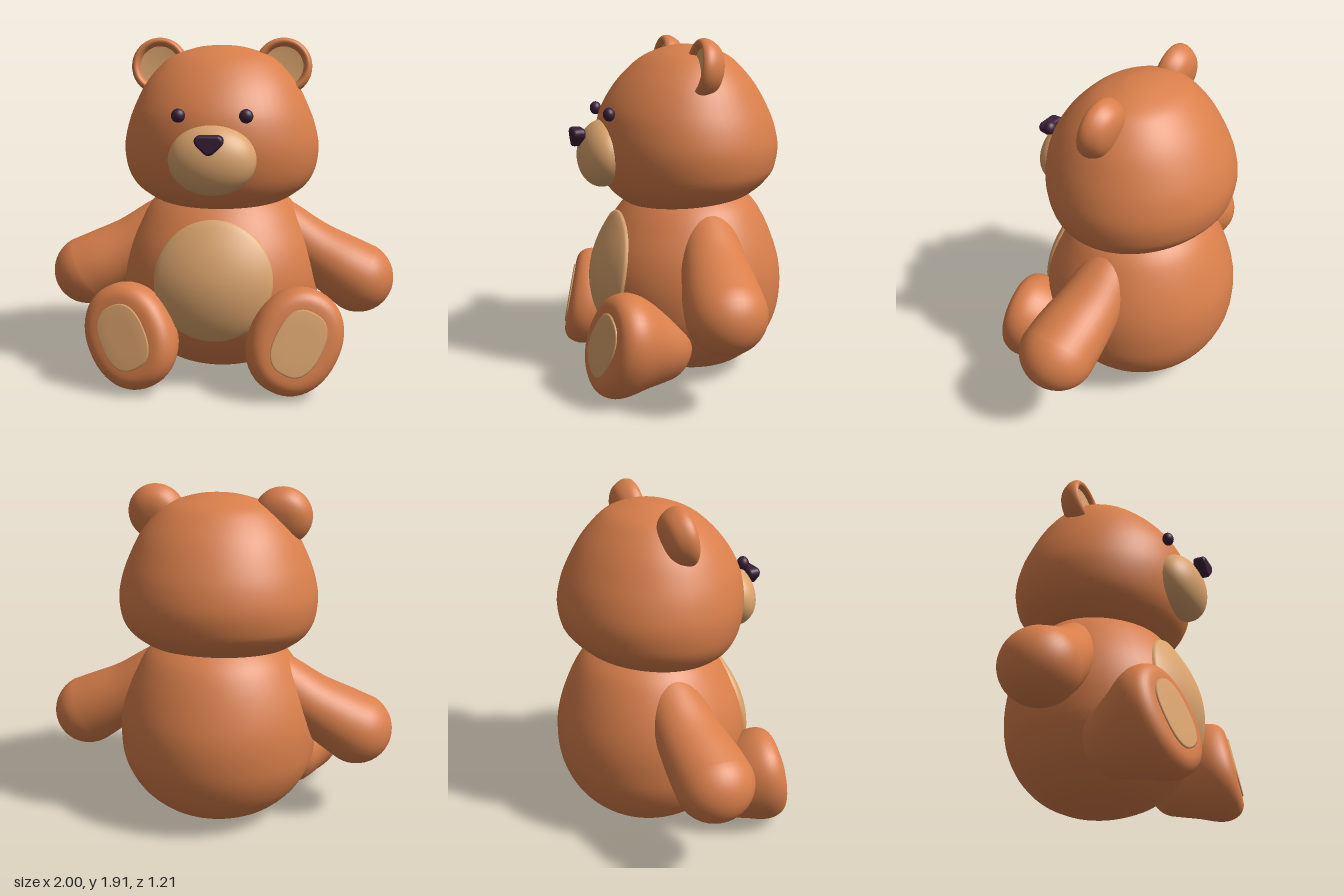
import * as THREE from 'three';
import { mergeVertices } from 'three/addons/utils/BufferGeometryUtils.js';

const material = (name, color) => {
  const m = new THREE.MeshStandardMaterial({ color });
  m.name = name;
  return m;
};

// Catmull-Rom resampling of rows of numbers
function refine(rows, n) {
  const out = [];
  const at = (i) => rows[Math.min(Math.max(i, 0), rows.length - 1)];
  for (let i = 0; i < rows.length - 1; i++) {
    for (let j = 0; j < n; j++) {
      const t = j / n;
      out.push(rows[i].map((b, k) => {
        const a = at(i - 1)[k], c = at(i + 1)[k], d = at(i + 2)[k];
        return b + 0.5 * t * (c - a + t * (2 * a - 5 * b + 4 * c - d + t * (3 * (b - c) + d - a)));
      }));
    }
  }
  out.push(rows[rows.length - 1]);
  return out;
}

// Smooth skin over closed loops; point(row, angle) returns [x, y, z]
function loft(rows, point, seg = 56) {
  const pos = [], idx = [];
  rows.forEach((row, i) => {
    for (let j = 0; j < seg; j++) {
      pos.push(...point(row, (j / seg) * Math.PI * 2));
      if (i === rows.length - 1) continue;
      const a = i * seg + j, b = i * seg + ((j + 1) % seg);
      idx.push(a, a + seg, b, b, a + seg, b + seg);
    }
  });
  const g = new THREE.BufferGeometry();
  g.setAttribute('position', new THREE.Float32BufferAttribute(pos, 3));
  g.setIndex(idx);
  return smooth(g);
}

function smooth(g) {
  g.deleteAttribute('uv');
  g.deleteAttribute('normal');
  const m = mergeVertices(g, 1e-5);
  m.computeVertexNormals();
  return m;
}

// Mirror across x with the corner order reversed
function mirrored(g) {
  const m = g.clone().scale(-1, 1, 1);
  const ix = m.index.array;
  for (let i = 0; i < ix.length; i += 3) [ix[i], ix[i + 1]] = [ix[i + 1], ix[i]];
  m.computeVertexNormals();
  return m;
}

// Rounded outline between an ellipse (p = 2) and a box
const superEllipse = (a, b, p, t) => {
  const c = Math.cos(t), s = Math.sin(t);
  return [a * Math.sign(c) * Math.abs(c) ** (2 / p), b * Math.sign(s) * Math.abs(s) ** (2 / p)];
};

export function createModel() {
  const model = new THREE.Group();
  model.name = 'teddyBear';
  const fur = material('brown fur', 0xd97f4b);
  const tan = material('tan patch', 0xdba46d);
  const dark = material('dark plum', 0x3c2038);

  const add = (name, geometry, mat) => {
    const mesh = new THREE.Mesh(geometry, mat);
    mesh.name = name;
    model.add(mesh);
  };
  const pair = (name, geometry, mat) => {
    add('left' + name, geometry, mat);
    add('right' + name, mirrored(geometry), mat);
  };

  // Upright sections: height, half width, front z, back z
  const ring = ([y, w, f, b], t) => [w * Math.cos(t), y, (f + b) / 2 + ((f - b) / 2) * Math.sin(t)];

  // Body
  const body = refine([
    [0, 0, -0.09, -0.09], [0.008, 0.11, 0.02, -0.2], [0.03, 0.21, 0.12, -0.29], [0.09, 0.35, 0.25, -0.41],
    [0.2, 0.47, 0.37, -0.515], [0.34, 0.545, 0.455, -0.58], [0.48, 0.565, 0.49, -0.602],
    [0.62, 0.56, 0.485, -0.595], [0.76, 0.525, 0.44, -0.555], [0.9, 0.455, 0.36, -0.495],
    [1.0, 0.38, 0.28, -0.425], [1.1, 0.25, 0.18, -0.3],
  ], 4);
  add('body', loft(body, ring), fur);

  // Belly patch, laid on the front of the body
  const bodyFront = (x, y) => {
    const i = body.findIndex((r) => r[0] > y);
    const lo = body[i - 1], hi = body[i], t = (y - lo[0]) / (hi[0] - lo[0]);
    const [w, f, b] = [1, 2, 3].map((k) => lo[k] + (hi[k] - lo[k]) * t);
    return (f + b) / 2 + ((f - b) / 2) * Math.sqrt(Math.max(0, 1 - (x / w) ** 2));
  };
  const patchRows = [];
  for (let i = 0; i <= 12; i++) patchRows.push([(i / 12) * 0.98, 0.017]);
  patchRows.push([1, 0.009], [1.001, -0.02]);
  add('bellyPatch', loft(patchRows, ([r, lift], t) => {
    const x = 0.325 * r * Math.cos(t), y = 0.607 + 0.328 * r * Math.sin(t);
    return [x, y, bodyFront(x, y) + lift];
  }), tan);

  // Head, with the chin dipping forward
  const head = refine([
    [0.99, 0, -0.06, -0.06], [0.99, 0.2, 0.13, -0.24], [1.0, 0.36, 0.27, -0.4], [1.045, 0.445, 0.345, -0.46],
    [1.1, 0.502, 0.4, -0.505], [1.18, 0.54, 0.44, -0.548], [1.3, 0.555, 0.46, -0.57], [1.42, 0.533, 0.452, -0.55],
    [1.53, 0.492, 0.42, -0.505], [1.65, 0.43, 0.345, -0.435], [1.75, 0.348, 0.25, -0.35], [1.81, 0.268, 0.165, -0.275],
    [1.85, 0.145, 0.06, -0.17], [1.862, 0.07, 0, -0.11], [1.865, 0, -0.05, -0.05],
  ], 4);
  add('head', loft(head, (row, t) => {
    const [x, y, z] = ring(row, t);
    const low = Math.min(1, Math.max(0, (1.18 - y) / 0.18));
    return [x, y - 0.09 * z * low + 0.005 * low, z];
  }), fur);

  // Muzzle, nose and eyes
  add('muzzle', new THREE.SphereGeometry(1, 48, 32).scale(0.234, 0.188, 0.138)
    .rotateX(-0.15).translate(0, 1.274, 0.43), tan);
  const noseShape = new THREE.Shape();
  noseShape.moveTo(-0.045, 1.405);
  noseShape.lineTo(0.045, 1.405);
  noseShape.quadraticCurveTo(0.07, 1.4, 0.055, 1.375);
  noseShape.lineTo(0.016, 1.337);
  noseShape.quadraticCurveTo(0, 1.324, -0.016, 1.337);
  noseShape.lineTo(-0.055, 1.375);
  noseShape.quadraticCurveTo(-0.07, 1.4, -0.045, 1.405);
  const nose = new THREE.ExtrudeGeometry(noseShape, {
    depth: 0.035, bevelThickness: 0.018, bevelSize: 0.014, bevelSegments: 5, curveSegments: 8,
  });
  add('nose', smooth(nose.translate(0, 0, 0.552)), dark);
  pair('Eye', smooth(new THREE.SphereGeometry(1, 24, 16).scale(0.037, 0.037, 0.032).translate(0.178, 1.505, 0.428)), dark);

  // Ears: round cup with a soft rim and a tan lining
  const placeEar = (g) => g.rotateX(Math.PI / 2 - 0.16).translate(0.35, 1.748, -0.015);
  const earProfile = new THREE.SplineCurve([
    [0, -0.125], [0.07, -0.118], [0.125, -0.09], [0.156, -0.04], [0.16, 0.0],
    [0.145, 0.024], [0.125, 0.02], [0.112, -0.005], [0.106, -0.03],
  ].map(([r, h]) => new THREE.Vector2(r, h))).getPoints(32);
  earProfile[0].x = 0;
  pair('Ear', smooth(placeEar(new THREE.LatheGeometry(earProfile, 40))), fur);
  const lining = new THREE.LatheGeometry([[0.114, -0.006], [0.08, -0.01], [0, -0.012]]
    .map(([r, h]) => new THREE.Vector2(r, h)), 40);
  pair('EarLining', smooth(placeEar(lining)), tan);

  // Arms: x, y, z, radius across, radius in z, ending in a round paw
  const armDir = new THREE.Vector2(0.86, -0.51).normalize();
  const armRows = refine([
    [0.2, 0.9, -0.075, 0.15, 0.145], [0.34, 0.83, -0.073, 0.155, 0.158],
    [0.52, 0.71, -0.055, 0.162, 0.182], [0.68, 0.612, -0.035, 0.187, 0.206], [0.795, 0.545, -0.025, 0.203, 0.213],
  ], 5);
  for (let i = 1; i <= 10; i++) {
    const a = (i / 10) * Math.PI / 2, c = i === 10 ? 0 : Math.cos(a), s = 0.203 * Math.sin(a);
    armRows.push([0.795 + armDir.x * s, 0.545 + armDir.y * s, -0.025, 0.203 * c, 0.213 * c]);
  }
  pair('Arm', loft(armRows, ([x, y, z, rn, rz], t) => [
    x - armDir.y * rn * Math.cos(t), y + armDir.x * rn * Math.cos(t), z - rz * Math.sin(t),
  ], 40), fur);

  // Legs: distance behind the sole, half width, half length
  const legFrame = new THREE.Matrix4().lookAt(
    new THREE.Vector3(0.22, 0.2, 1), new THREE.Vector3(), new THREE.Vector3(0, 1, 0),
  ).multiply(new THREE.Matrix4().makeRotationZ(-0.5)).setPosition(0.47, 0.325, 0.548);
  const legRows = refine([
    [0, 0, 0], [0, 0.1, 0.14], [0, 0.15, 0.2], [0.008, 0.195, 0.245], [0.04, 0.232, 0.282], [0.1, 0.25, 0.298],
    [0.17, 0.242, 0.283], [0.26, 0.215, 0.24], [0.36, 0.19, 0.2], [0.44, 0.16, 0.165], [0.49, 0.1, 0.1], [0.505, 0, 0],
  ], 3);
  pair('Leg', loft(legRows, ([d, a, b], t) => [...superEllipse(a, b, 2.15, t), -d], 48).applyMatrix4(legFrame), fur);

  // Sole pads
  const padRows = [[0, 0.009], [0.5, 0.009], [0.95, 0.009], [1, 0.004], [1.001, -0.02]];
  pair('SolePad', loft(padRows, ([r, h], t) => [...superEllipse(0.132 * r, 0.182 * r, 2.5, t), h], 48)
    .applyMatrix4(legFrame), tan);

  return model;
}
